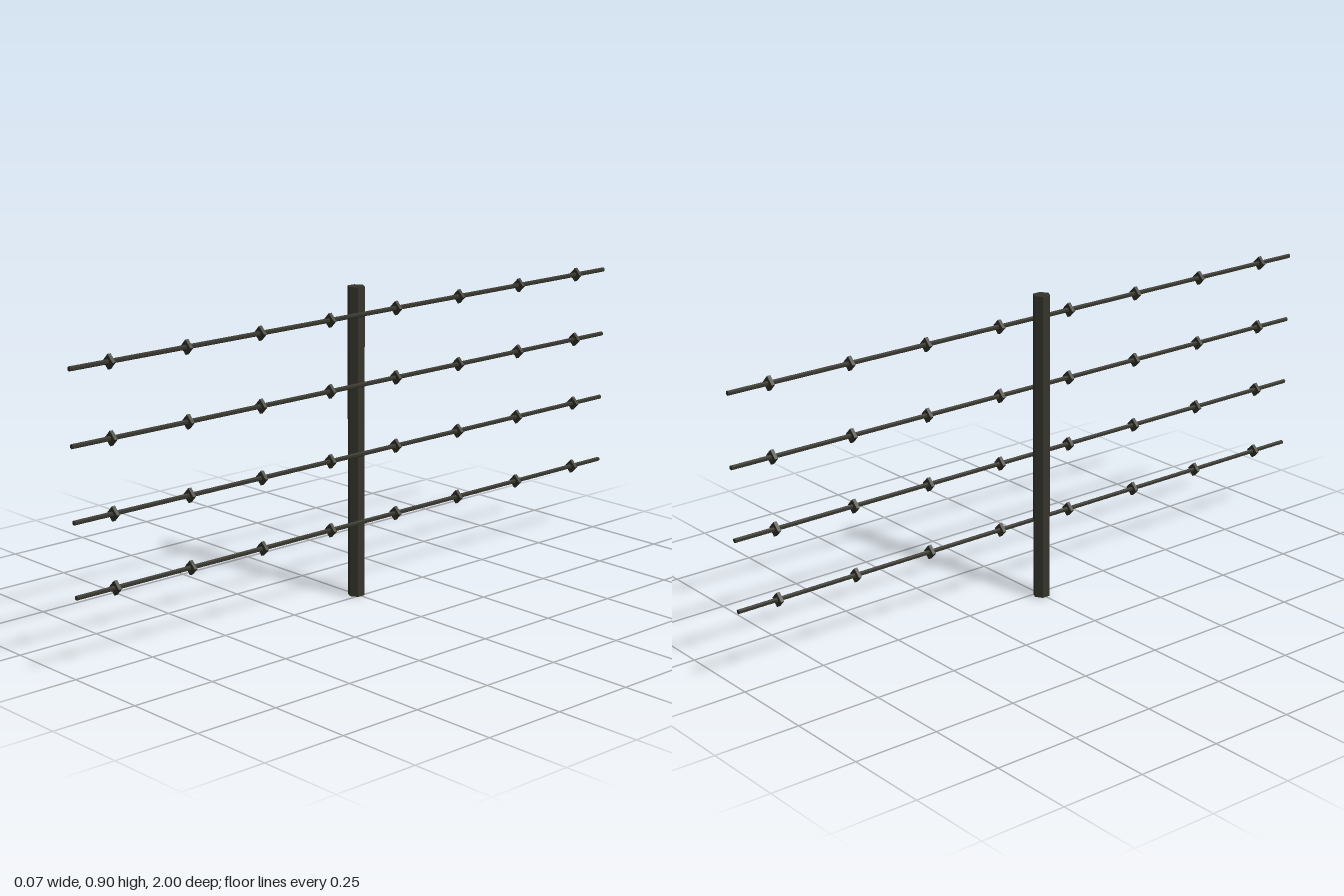
import * as THREE from 'three';

export function createModel() {
  const group = new THREE.Group();
  const darkMetal = new THREE.MeshStandardMaterial({ color: 0x35342b });
  darkMetal.name = 'dark metal';

  // Creased prism sides, faceted by splitting shared vertices
  const prism = (radius, length, sides) => {
    const g = new THREE.CylinderGeometry(radius, radius, length, sides).toNonIndexed();
    g.computeVertexNormals();
    return g;
  };
  const add = (parent, name, geometry, x, y, z) => {
    const mesh = new THREE.Mesh(geometry, darkMetal);
    mesh.name = name;
    mesh.position.set(x, y, z);
    parent.add(mesh);
  };

  // Hexagonal post with a corner facing front
  add(group, 'post', prism(0.025, 0.9, 6), -0.016, 0.45, 0);

  // Four strands, each with eight evenly spaced diamond barbs
  const wireGeometry = prism(0.0067, 2, 6).rotateX(Math.PI / 2);
  const barbGeometry = prism(0.0205, 0.01, 4).rotateX(Math.PI / 2);
  for (let row = 0; row < 4; row++) {
    const strand = new THREE.Group();
    strand.name = 'strand';
    strand.position.set(0.0145, 0.225 + row * 0.2, 0);
    add(strand, 'wire', wireGeometry, 0, 0, 0);
    for (let i = 0; i < 8; i++) add(strand, 'barb', barbGeometry, 0, 0, -0.875 + i * 0.25);
    group.add(strand);
  }
  return group;
}
